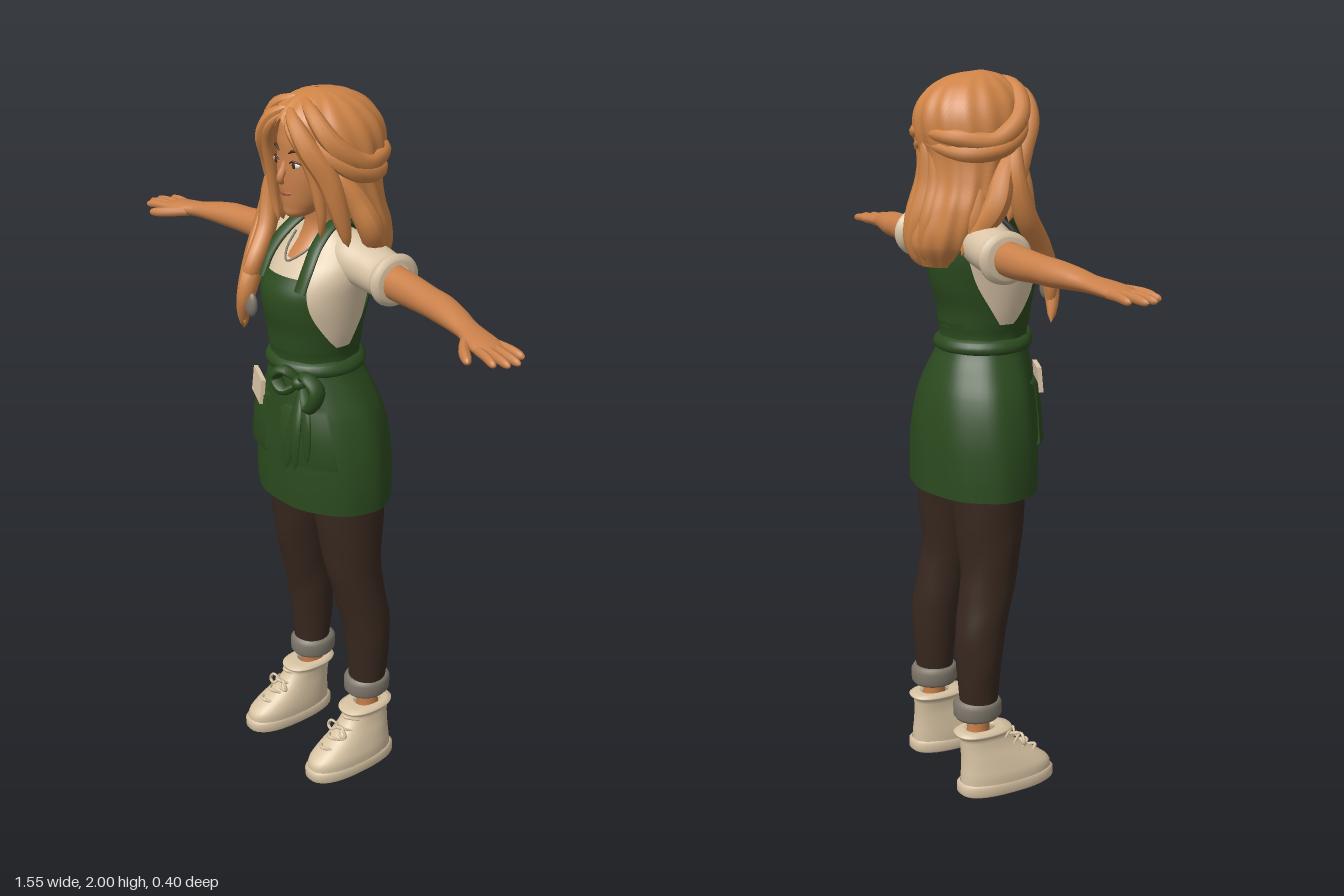
import * as THREE from 'three';

const mat = (name, color) => {
  const m = new THREE.MeshStandardMaterial({ color, side: THREE.DoubleSide });
  m.name = name;
  return m;
};
const M = {
  skin: mat('skin', 0xc9804a), hair: mat('hair', 0xcf8447), apron: mat('apron green', 0x2b4a1e),
  shirt: mat('shirt cream', 0xd9c4a6), trousers: mat('trousers brown', 0x38281f), cuff: mat('cuff grey', 0x7d766a),
  shoe: mat('shoe beige', 0xd6c2a2), white: mat('eye white', 0xe8dccb), dark: mat('dark brown', 0x4a2a18), lip: mat('lip', 0xa85c3c),
};

// Smooth skin over oval rings. Row: [y, centreX, radiusX, zFront, zBack, arcHalfAngle]
function loft(rows, { n = 32, sub = 5, center = 0, power = 1, wave = 0, freq = 12, twist = 0 } = {}) {
  const arc = rows[0].length > 5, size = rows[0].length - 1;
  const curve = new THREE.CubicInterpolant(rows.map(r => r[0]), rows.flatMap(r => r.slice(1)), size, new Array(size));
  const pos = [], index = [], cols = arc ? n + 1 : n, count = (rows.length - 1) * sub;
  const pw = v => Math.sign(v) * Math.abs(v) ** power;
  for (let i = 0; i <= count; i++) {
    const k = Math.min(Math.floor(i / sub), rows.length - 2), f = i / sub - k;
    const y = f === 1 ? rows[k + 1][0] : THREE.MathUtils.lerp(rows[k][0], rows[k + 1][0], f);
    const [cx, rx, zf, zb, half] = curve.evaluate(y);
    for (let j = 0; j < cols; j++) {
      const a = arc ? center + Math.min(half, Math.PI) * (2 * j / n - 1) : j / n * Math.PI * 2;
      const w = 1 + wave * Math.sin(freq * a + twist * y);
      pos.push(cx + Math.max(rx, 0.001) * w * pw(Math.sin(a)), y, (zf + zb) / 2 + (zf - zb) / 2 * w * pw(Math.cos(a)));
    }
    if (i === count) break;
    for (let j = 0; j < n; j++) {
      const a = i * cols + j, b = i * cols + (j + 1) % cols;
      index.push(a, b, b + cols, a, b + cols, a + cols);
    }
  }
  const g = new THREE.BufferGeometry();
  g.setAttribute('position', new THREE.Float32BufferAttribute(pos, 3));
  g.setIndex(index);
  g.computeVertexNormals();
  return g;
}

const spindle = t => Math.sqrt(Math.max(0, Math.sin(Math.PI * t)));
const finger = t => Math.sqrt(Math.max(0, 1 - t ** 8));
const even = () => 1;

// Tube along points with varying radius and optional flattening
function lock(points, r, profile = spindle, flat = [1, 1, 1], seg = 24) {
  const curve = new THREE.CatmullRomCurve3(points.map(p => new THREE.Vector3(...p)));
  const g = new THREE.TubeGeometry(curve, seg, 1, 10), p = g.attributes.position, v = new THREE.Vector3();
  for (let i = 0; i < p.count; i++) {
    const t = Math.floor(i / 11) / seg, c = curve.getPointAt(t);
    v.fromBufferAttribute(p, i).sub(c).multiplyScalar(r * profile(t));
    p.setXYZ(i, c.x + v.x * flat[0], c.y + v.y * flat[1], c.z + v.z * flat[2]);
  }
  g.computeVertexNormals();
  return g;
}

export function createModel() {
  const root = new THREE.Group();
  const add = (name, geo, material, parent = root) => {
    const m = new THREE.Mesh(geo, material);
    m.name = name;
    parent.add(m);
    return m;
  };
  const blob = (name, material, at, scale, parent = root) => {
    const m = add(name, new THREE.SphereGeometry(1, 20, 14), material, parent);
    m.position.set(...at);
    m.scale.set(...scale);
    return m;
  };

  // Torso and apron
  add('shirt', loft([[1.25, 0, .11, .12, -.1], [1.3, 0, .108, .128, -.088], [1.38, 0, .124, .142, -.098], [1.47, 0, .136, .158, -.122],
    [1.55, 0, .14, .118, -.125], [1.6, 0, .115, .065, -.11], [1.635, 0, .075, .04, -.085], [1.65, 0, .05, .03, -.065]]), M.shirt);
  add('apronSkirt', loft([[.88, 0, .222, .155, -.173], [.95, 0, .222, .157, -.172], [1.05, 0, .212, .156, -.168], [1.15, 0, .186, .15, -.15],
    [1.22, 0, .152, .145, -.125], [1.28, 0, .123, .14, -.1], [1.31, 0, .119, .14, -.098], [1.345, 0, .125, .148, -.105]],
    { n: 60, wave: .01, freq: 9, twist: 5 }), M.apron);
  add('waistband', loft([[1.262, 0, .125, .14, -.102], [1.27, 0, .137, .15, -.112], [1.295, 0, .13, .15, -.108], [1.303, 0, .118, .138, -.097]], { sub: 3 }), M.apron);
  add('apronBib', loft([[1.33, 0, .124, .147, -.102, 1.5], [1.38, 0, .132, .152, -.105, 1.15], [1.44, 0, .14, .165, -.122, .88],
    [1.49, 0, .147, .163, -.132, .75], [1.535, 0, .15, .141, -.135, .66]]), M.apron);
  add('apronBack', loft([[1.33, 0, .124, .147, -.102, 1.5], [1.38, 0, .132, .152, -.106, 1.25], [1.45, 0, .142, .165, -.126, 1.0],
    [1.55, 0, .148, .126, -.134, .85], [1.61, 0, .112, .06, -.118, .8], [1.65, 0, .06, .03, -.08, .9]], { center: Math.PI }), M.apron);
  for (const [name, c] of [['rightPocket', -.58], ['leftPocket', .58]])
    add(name, loft([[1.015, 0, .212, .154, -.166, .42], [1.022, 0, .228, .17, -.168, .42], [1.1, 0, .214, .167, -.16, .41],
      [1.175, 0, .188, .162, -.145, .38], [1.182, 0, .174, .146, -.14, .38]], { center: c, sub: 1 }), M.apron);
  const note = add('pocketNote', new THREE.BoxGeometry(.1, .07, .012), M.shirt);
  note.position.set(-.1, 1.185, .138);
  note.rotation.set(-.1, -.4, -.06);

  // Waist bow
  blob('bowKnot', M.apron, [.1, 1.265, .145], [.022, .02, .025]);
  const loopFlat = [1, 1, 1.5];
  add('bowLoop', lock([[.1, 1.265, .14], [.06, 1.295, .17], [.03, 1.265, .175], [.06, 1.235, .17], [.1, 1.265, .14]], .015, spindle, loopFlat), M.apron);
  add('bowLoop', lock([[.1, 1.265, .14], [.14, 1.3, .16], [.18, 1.27, .15], [.16, 1.215, .16], [.1, 1.265, .14]], .016, spindle, loopFlat), M.apron);
  for (const pts of [[[.1, 1.26, .14], [.11, 1.15, .175], [.085, 1.02, .185]], [[.1, 1.26, .14], [.15, 1.17, .165], [.16, 1.06, .17]],
    [[.1, 1.26, .14], [.125, 1.15, .18], [.125, 1.03, .185]]])
    add('bowTail', lock(pts, .02, spindle, [1, 1, .45]), M.apron);

  // Neck, head and face
  add('neck', loft([[1.57, 0, .065, .1, -.06], [1.61, 0, .056, .062, -.06], [1.65, 0, .042, .045, -.04], [1.7, 0, .038, .05, -.035], [1.76, 0, .042, .06, -.04]]), M.skin);
  add('head', loft([[1.677, 0, .008, .092, .074], [1.684, 0, .026, .106, .045], [1.71, 0, .052, .113, .0], [1.745, 0, .07, .117, -.03],
    [1.79, 0, .081, .12, -.045], [1.84, 0, .085, .119, -.06], [1.89, 0, .085, .116, -.06], [1.94, 0, .065, .09, -.05], [1.965, 0, .01, .03, 0]]), M.skin);
  add('nose', lock([[0, 1.84, .112], [0, 1.81, .12], [0, 1.785, .13], [0, 1.77, .12]], .013, t => spindle(t) * (.5 + .5 * t)), M.skin);
  add('mouth', lock([[-.026, 1.75, .11], [-.01, 1.747, .117], [.01, 1.747, .117], [.026, 1.75, .11]], .006, spindle), M.lip);
  add('necklace', lock([[-.05, 1.62, .045], [-.03, 1.585, .09], [0, 1.565, .112], [.03, 1.585, .09], [.05, 1.62, .045]], .003, even), M.cuff);

  // Hair mass: parted crown flowing into the back
  const pi = Math.PI;
  add('hairMass', loft([[1.5, 0, .07, 0, -.165, 1.2], [1.56, 0, .12, .03, -.195, 1.35], [1.65, 0, .148, .04, -.178, 1.5], [1.72, 0, .147, .06, -.155, 1.7],
    [1.79, 0, .143, .1, -.155, 2.1], [1.85, 0, .146, .12, -.168, 2.4], [1.9, 0, .137, .13, -.166, 2.8], [1.94, 0, .116, .124, -.145, pi],
    [1.975, 0, .08, .09, -.1, pi], [1.992, 0, .045, .055, -.05, pi], [2, 0, .004, .02, .01, pi]],
    { n: 96, center: pi, wave: .022, freq: 15, twist: 14 }), M.hair);
  for (let i = -3; i <= 3; i++) {
    const x = i * .036, c = Math.cos(i * .4);
    add('backLock', lock([[x * .6, 1.84, -.14 * c - .01], [x, 1.72, -.13 * c - .01], [x * 1.2, 1.62, -.15 * c - .02],
      [x * 1.05 + .01, 1.55, -.165 * c - .015], [x * .85, 1.5 + Math.abs(i) * .012, -.15 * c - .015]], .033), M.hair);
  }
  add('longFrontLock', lock([[-.12, 1.86, .05], [-.16, 1.74, .03], [-.155, 1.64, .06], [-.12, 1.55, .125], [-.105, 1.47, .165], [-.125, 1.4, .165], [-.145, 1.34, .15]], .032), M.hair);
  add('longFrontLock', lock([[-.1, 1.84, .06], [-.13, 1.72, .07], [-.12, 1.62, .09], [-.1, 1.53, .15], [-.13, 1.45, .155], [-.12, 1.36, .165]], .026), M.hair);
  blob('hairOrnament', M.cuff, [-.09, 1.43, .165], [.024, .035, .014]);

  // Mirrored parts; the group with +x is the model's left
  for (const [s, sideName] of [[1, 'left'], [-1, 'right']]) {
    const side = new THREE.Group();
    side.name = sideName + 'Side';
    side.scale.x = s;
    root.add(side);
    const put = (name, geo, material) => add(name, geo, material, side);

    // Face side
    blob('eye', M.white, [.038, 1.825, .109], [.017, .009, .007], side);
    blob('iris', M.dark, [.037, 1.825, .114], [.007, .0085, .004], side);
    put('upperLid', lock([[.02, 1.827, .117], [.037, 1.835, .116], [.057, 1.829, .104]], .003), M.dark);
    put('brow', lock([[.018, 1.852, .118], [.04, 1.862, .113], [.062, 1.853, .1]], .004), M.dark);
    blob('ear', M.skin, [.086, 1.8, .015], [.012, .032, .02], side);
    const ring = put('earring', new THREE.TorusGeometry(.014, .003, 8, 20), M.cuff);
    ring.position.set(.092, 1.75, .03);

    // Hair side
    for (const [pts, r] of [
      [[[0, 1.965, .1], [.045, 1.935, .118], [.09, 1.875, .108], [.12, 1.8, .07], [.135, 1.7, .04], [.14, 1.62, .02]], .03],
      [[[.005, 1.95, .115], [.04, 1.915, .128], [.078, 1.86, .112], [.093, 1.79, .09], [.1, 1.7, .075], [.09, 1.64, .07]], .017],
      [[[0, 1.985, .06], [.07, 1.955, .08], [.125, 1.89, .06], [.14, 1.83, -.02], [.1, 1.84, -.12], [.01, 1.85, -.165]], .028],
      [[[.09, 1.9, .09], [.13, 1.85, .06], [.147, 1.81, -.01], [.12, 1.8, -.09], [.02, 1.82, -.16]], .025],
      [[[.12, 1.82, .05], [.145, 1.74, .0], [.165, 1.67, -.03], [.14, 1.6, -.07], [.12, 1.54, -.11]], .034],
    ]) put('hairLock', lock(pts, r), M.hair);

    // Apron strap
    put('apronStrap', lock([[.085, 1.505, .135], [.085, 1.56, .11], [.072, 1.62, .065], [.06, 1.66, 0], [.062, 1.645, -.06], [.07, 1.59, -.118]],
      .021, even, [1, .45, .45]), M.apron);

    // Sleeve, arm and hand, swept along x
    const sleeve = loft([[.04, -1.59, .045, .02, -.09], [.1, -1.572, .064, .035, -.105], [.16, -1.56, .062, .025, -.112], [.22, -1.55, .058, .018, -.112],
      [.255, -1.547, .058, .015, -.108], [.258, -1.547, .045, 0, -.09]]);
    put('sleeve', sleeve.rotateZ(-pi / 2), M.shirt);
    const arm = loft([[.18, -1.55, .046, .003, -.09], [.3, -1.543, .043, 0, -.083], [.4, -1.541, .036, .008, -.073], [.45, -1.54, .035, .014, -.068],
      [.52, -1.537, .028, .025, -.05], [.57, -1.532, .022, .033, -.034], [.62, -1.528, .02, .053, -.027], [.67, -1.524, .017, .063, -.021], [.7, -1.522, .008, .055, -.014]]);
    put('arm', arm.rotateZ(-pi / 2), M.skin);
    [[-.011, .752, -.012], [.01, .775, .022], [.032, .77, .05], [.052, .748, .076]].forEach(([z, tx, tz]) =>
      put('finger', lock([[.665, 1.524, z], [.71, 1.524, (z + tz) / 2], [tx, 1.519, tz]], .0115, finger), M.skin));
    put('thumb', lock([[.6, 1.525, .03], [.64, 1.52, .072], [.69, 1.514, .104]], .014, finger), M.skin);

    // Leg with rolled cuff
    put('trouserLeg', loft([[.24, .135, .05, -.015, -.115], [.3, .135, .055, -.01, -.122], [.4, .135, .064, 0, -.13], [.48, .132, .068, .012, -.13],
      [.58, .125, .07, .038, -.115], [.66, .118, .075, .058, -.105], [.78, .108, .086, .078, -.115], [.9, .1, .094, .09, -.125], [1.05, .09, .1, .1, -.125]],
      { wave: .01, freq: 3, twist: 40 }), M.trousers);
    put('trouserCuff', loft([[.232, .132, .035, -.03, -.1], [.226, .132, .056, -.006, -.13], [.236, .132, .063, .002, -.137], [.268, .132, .064, .002, -.138],
      [.28, .132, .058, -.006, -.13], [.283, .132, .045, -.02, -.115]].map((r, i) => i ? r : [.224, ...r.slice(1)]), { sub: 1 }), M.cuff);
    put('ankle', loft([[.14, .138, .033, -.035, -.11], [.19, .136, .03, -.035, -.1], [.26, .135, .034, -.03, -.1]]), M.skin);

    // Shoe
    put('sole', loft([[0, .153, .002, .02, .018], [.001, .153, .06, .152, -.13], [.008, .153, .066, .162, -.138], [.032, .153, .066, .163, -.138], [.038, .153, .06, .155, -.13]],
      { sub: 1, power: .8 }), M.shoe);
    put('shoeUpper', loft([[.03, .153, .062, .156, -.128], [.06, .152, .062, .15, -.127], [.085, .15, .058, .118, -.125], [.11, .148, .053, .078, -.124],
      [.14, .145, .047, .04, -.125], [.17, .142, .045, .015, -.127], [.192, .14, .046, .008, -.128], [.194, .14, .034, -.02, -.11]], { power: .85, sub: 4 }), M.shoe);
    for (let i = 0; i < 4; i++) {
      const y = .095 + i * .024, z = .108 - i * .028;
      put('lace', lock([[.115, y - .01, z - .03], [.15, y + .004, z + .004], [.183, y - .006, z - .03]], .005), M.shoe);
    }
    for (const d of [-1, 1])
      put('laceBow', lock([[.147, .145, .045], [.147 + d * .025, .155, .055], [.147 + d * .04, .13, .055], [.147 + d * .02, .128, .06], [.147, .145, .045]], .005), M.shoe);
  }
  return root;
}
